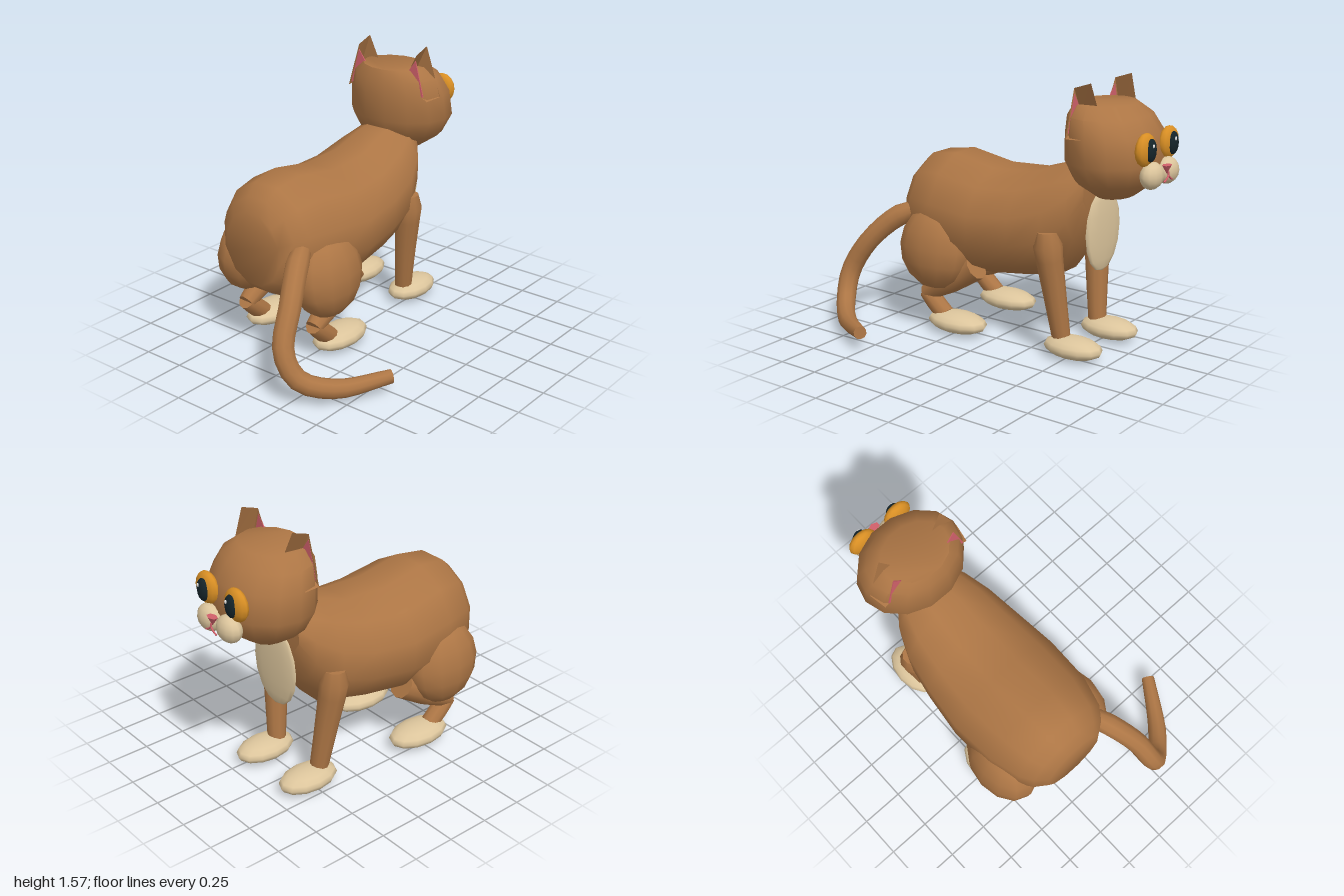
import * as THREE from 'three';
import { toCreasedNormals } from 'three/addons/utils/BufferGeometryUtils.js';

const V = (x, y, z) => new THREE.Vector3(x, y, z);

function material(name, color) {
  const m = new THREE.MeshStandardMaterial({ color });
  m.name = name;
  return m;
}

// Skin a list of rings (u x v points along the travel) and close both ends
function loft(rings, crease = 0.8) {
  const n = rings[0].length, pos = [], idx = [];
  rings.forEach(r => r.forEach(p => pos.push(p.x, p.y, p.z)));
  for (let i = 0; i < rings.length - 1; i++) {
    for (let j = 0; j < n; j++) {
      const k = (j + 1) % n;
      const a = i * n + j, b = i * n + k, c = a + n, d = b + n;
      idx.push(a, b, c, b, d, c);
    }
  }
  const last = (rings.length - 1) * n;
  for (let j = 1; j < n - 1; j++) {
    idx.push(0, j + 1, j, last, last + j, last + j + 1);
  }
  const g = new THREE.BufferGeometry();
  g.setAttribute('position', new THREE.Float32BufferAttribute(pos, 3));
  g.setIndex(idx);
  return toCreasedNormals(g, crease);
}

function ring(center, u, v, sides) {
  return Array.from({ length: sides }, (_, j) => {
    const t = ((j + 0.5) / sides) * Math.PI * 2;
    return center.clone().addScaledVector(u, Math.cos(t)).addScaledVector(v, Math.sin(t));
  });
}

// Tapered tube through points, with one radius per point
function limb(points, radii, steps, sides = 10) {
  const curve = new THREE.CatmullRomCurve3(points);
  const f = curve.computeFrenetFrames(steps, false);
  const rings = [];
  for (let i = 0; i <= steps; i++) {
    const t = curve.getUtoTmapping(i / steps);
    const s = t * (radii.length - 1), k = Math.min(Math.floor(s), radii.length - 2);
    const r = THREE.MathUtils.lerp(radii[k], radii[k + 1], s - k);
    rings.push(ring(curve.getPoint(t), f.normals[i].clone().multiplyScalar(r),
      f.binormals[i].clone().multiplyScalar(r), sides));
  }
  return loft(rings);
}

export function createModel() {
  const fur = material('brown fur', 0xad7645);
  const cream = material('cream fur', 0xdcc59c);
  const amber = material('amber eye', 0xd98f24);
  const black = material('dark pupil', 0x14242a);
  const pink = material('pink skin', 0xd0606a);
  const white = material('eye glint', 0xffffff);

  const model = new THREE.Group();
  model.name = 'cat';
  const cat = new THREE.Group();
  cat.name = 'catBody';
  cat.position.x = -0.21;
  model.add(cat);

  const add = (name, geo, mat, parent = cat) => {
    const m = new THREE.Mesh(geo, mat);
    m.name = name;
    parent.add(m);
    return m;
  };
  const ball = (name, mat, c, r, w = 12, h = 8) => {
    const m = add(name, new THREE.SphereGeometry(1, w, h), mat);
    m.position.set(...c);
    m.scale.set(...r);
    return m;
  };

  // Torso: z, bottom, top, half width
  const torso = [
    [-0.57, 0.80, 1.12, 0.19], [-0.5, 0.62, 1.11, 0.25], [-0.36, 0.435, 1.075, 0.31],
    [-0.16, 0.395, 1.01, 0.345], [0.1, 0.36, 0.995, 0.375], [0.38, 0.34, 1.045, 0.36],
    [0.56, 0.38, 1.02, 0.31], [0.63, 0.42, 0.96, 0.26], [0.68, 0.47, 0.89, 0.19],
  ];
  add('torso', loft(torso.map(([z, lo, hi, w]) =>
    ring(V(0, (lo + hi) / 2, z), V(w * 1.02, 0, 0), V(0, (hi - lo) / 2 * 1.03, 0), 12))), fur);

  // Head: y, back z, front z, half width
  const head = [
    [0.935, -0.57, -0.76, 0.13], [1.025, -0.45, -0.875, 0.26], [1.14, -0.40, -0.925, 0.32],
    [1.29, -0.40, -0.895, 0.31], [1.385, -0.405, -0.83, 0.275], [1.445, -0.43, -0.75, 0.2],
  ];
  add('head', loft(head.map(([y, b, f, w]) =>
    ring(V(0, y, (b + f) / 2), V(0, 0, (b - f) / 2 * 1.02), V(w * 1.01, 0, 0), 14))), fur);

  // Bib hanging below the chin
  ball('bib', cream, [0, 0.72, -0.585], [0.18, 0.24, 0.027]);

  for (const s of [-1, 1]) {
    const side = s > 0 ? 'left' : 'right';
    const name = part => side + part;
    // Mirrored triangle kept counterclockwise towards +z
    const tri = (pts, z) => {
      const r = pts.map(([x, y]) => V(s * x, y, z));
      return s > 0 ? r : r.reverse();
    };

    // Ear wedge with an inner plate on its rear face
    add(name('Ear'), loft([
      tri([[0.31, 1.285], [0.21, 1.575], [0.11, 1.37]].reverse(), -0.62),
      tri([[0.29, 1.275], [0.21, 1.54], [0.125, 1.37]].reverse(), -0.515),
    ], 0.3), fur);
    const inner = new THREE.Shape([[0.266, 1.30], [0.232, 1.30], [0.222, 1.385],
      [0.155, 1.435], [0.208, 1.51]].map(([x, y]) => new THREE.Vector2(s * x, y)));
    const innerEar = add(name('InnerEar'),
      new THREE.ExtrudeGeometry(inner, { depth: 0.006, bevelEnabled: false }), pink);
    innerEar.position.z = -0.516;

    // Eye, pupil, glint and cheek
    ball(name('Eye'), amber, [s * 0.125, 1.24, -0.91], [0.088, 0.091, 0.042]);
    ball(name('Pupil'), black, [s * 0.12, 1.24, -0.942], [0.044, 0.064, 0.025]);
    ball(name('EyeGlint'), white, [s * 0.12 + 0.012, 1.268, -0.964], [0.009, 0.011, 0.005], 8, 6);
    ball(name('Cheek'), cream, [s * 0.083, 1.095, -0.93], [0.085, 0.075, 0.06]);

    // Mouth line
    add(name('Mouth'), limb([V(0, 1.09, -0.985), V(s * 0.022, 1.07, -0.985),
      V(s * 0.045, 1.06, -0.984)], [0.005, 0.005], 3, 6), pink);

    // Front leg and paw
    add(name('FrontLeg'), limb([V(s * 0.262, 0.735, -0.388), V(s * 0.26, 0.66, -0.39),
      V(s * 0.225, 0.38, -0.415), V(s * 0.19, 0.09, -0.445)],
      [0.06, 0.083, 0.066, 0.052], 8), fur);
    ball(name('FrontPaw'), cream, [s * 0.195, 0.065, -0.525], [0.115, 0.062, 0.185]);

    // Haunch, folded shin, hock and rear paw
    const haunch = ball(name('Haunch'), fur, [s * 0.275, 0.51, 0.385], [0.165, 0.25, 0.245]);
    haunch.rotation.z = s * 0.12;
    add(name('Shin'), limb([V(s * 0.24, 0.43, 0.12), V(s * 0.25, 0.31, 0.31),
      V(s * 0.255, 0.205, 0.48)], [0.08, 0.078, 0.05], 4), fur);
    add(name('Hock'), limb([V(s * 0.255, 0.215, 0.48), V(s * 0.255, 0.16, 0.42),
      V(s * 0.255, 0.09, 0.34)], [0.05, 0.056, 0.055], 4), fur);
    ball(name('RearPaw'), cream, [s * 0.255, 0.067, 0.25], [0.12, 0.062, 0.2]);
  }

  // Nose: small downward wedge
  const nose = add('nose', new THREE.ConeGeometry(0.038, 0.05, 6), pink);
  nose.position.set(0, 1.12, -0.975);
  nose.rotation.x = Math.PI;
  nose.scale.z = 0.65;
  add('mouthStem', limb([V(0, 1.11, -0.985), V(0, 1.09, -0.985)], [0.005, 0.005], 1, 6), pink);

  // Tail sweeping back, down and out to the side
  add('tail', limb([V(0.03, 0.71, 0.54), V(0.085, 0.665, 0.65), V(0.17, 0.51, 0.81),
    V(0.222, 0.30, 0.93), V(0.30, 0.15, 0.905), V(0.44, 0.088, 0.77), V(0.615, 0.11, 0.51)],
    [0.05, 0.065, 0.062, 0.06, 0.058, 0.054, 0.038], 20), fur, model);

  return model;
}
